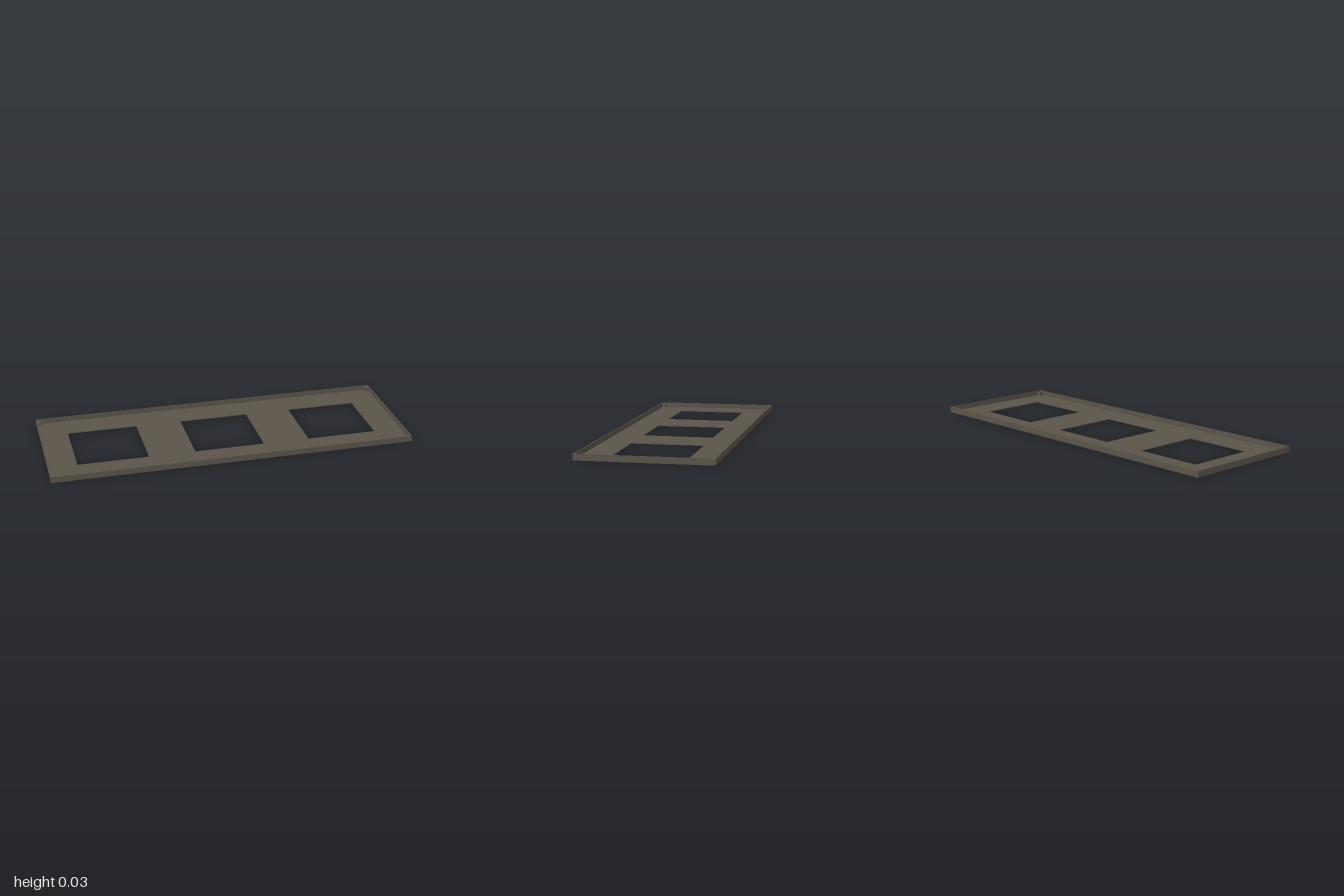
import * as THREE from 'three';

export function createModel() {
  const group = new THREE.Group();
  group.name = 'framePlate';
  const brown = new THREE.MeshStandardMaterial({ color: 0x5a5449 });
  brown.name = 'dark taupe';

  const W = 2, D = 0.71, H = 0.033; // outer size
  const wall = 0.005, floor = 0.005, post = 0.025;

  const rect = (Type, cx, w, d) => new Type([
    new THREE.Vector2(cx - w / 2, -d / 2), new THREE.Vector2(cx + w / 2, -d / 2),
    new THREE.Vector2(cx + w / 2, d / 2), new THREE.Vector2(cx - w / 2, d / 2),
  ]);

  // Extrudes a flat outline upward from height y
  const slab = (name, shape, y, height) => {
    const geo = new THREE.ExtrudeGeometry(shape, { depth: height, bevelEnabled: false });
    geo.rotateX(-Math.PI / 2);
    const mesh = new THREE.Mesh(geo, brown);
    mesh.name = name;
    mesh.position.y = y;
    group.add(mesh);
  };

  // Floor with three square openings
  const base = rect(THREE.Shape, 0, W, D);
  for (const x of [-0.645, 0, 0.645]) base.holes.push(rect(THREE.Path, x, 0.39, 0.39));
  slab('floorPlate', base, 0, floor);

  // Thin raised rim
  const rim = rect(THREE.Shape, 0, W, D);
  rim.holes.push(rect(THREE.Path, 0, W - 2 * wall, D - 2 * wall));
  slab('rim', rim, floor, H - floor);

  // Small corner blocks, just below the rim's top
  const blockGeo = new THREE.BoxGeometry(post, 0.022, post);
  for (const sx of [-1, 1]) for (const sz of [-1, 1]) {
    const block = new THREE.Mesh(blockGeo, brown);
    block.name = 'cornerBlock';
    block.position.set(sx * (W / 2 - wall - post / 2), floor + 0.011, sz * (D / 2 - wall - post / 2));
    group.add(block);
  }
  return group;
}
